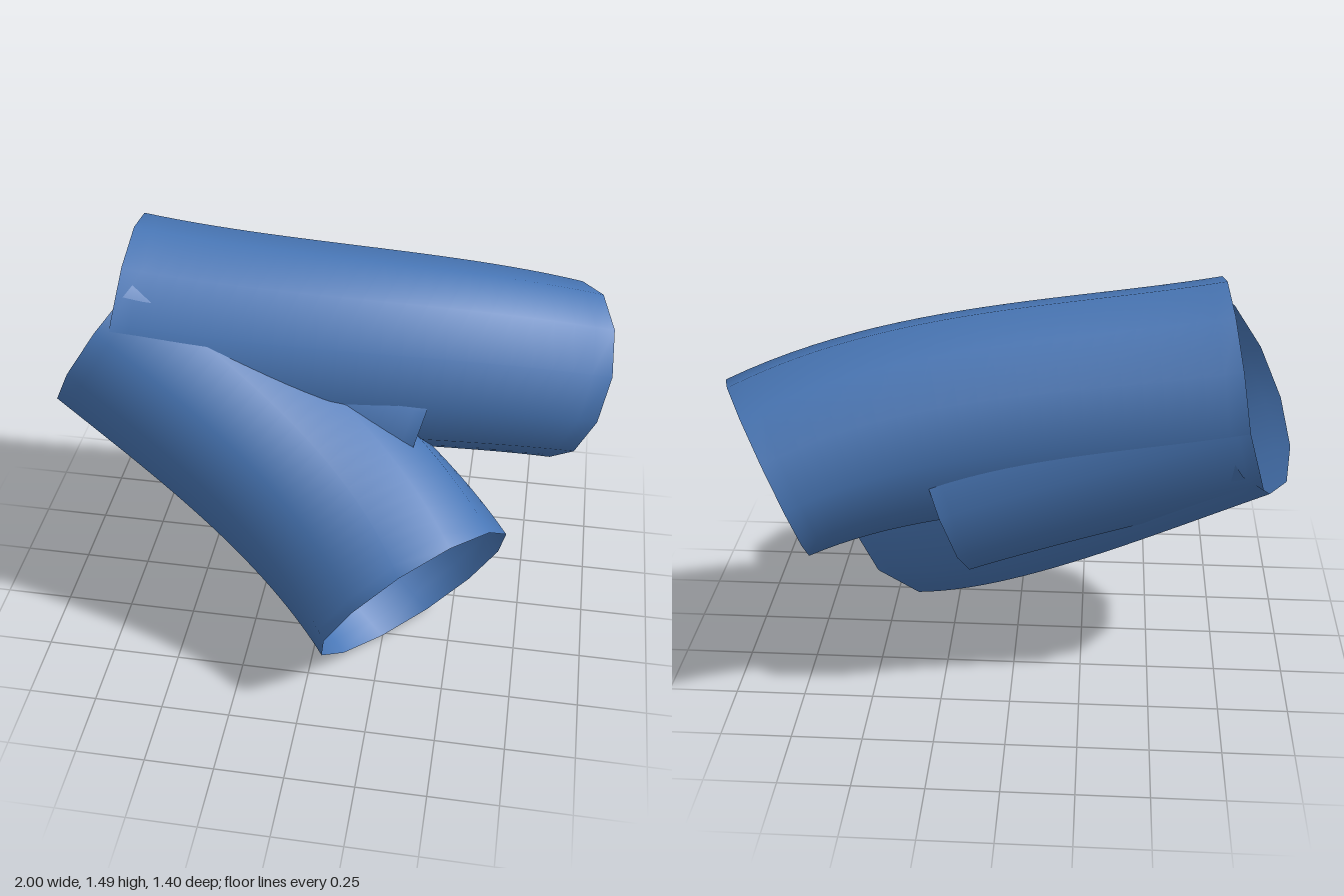
import * as THREE from 'three';

const SIDES = 12, STEPS = 24;

// Open tapered tube along a cubic curve, with end rings square to the given end directions
function branch(name, material, start, startDir, startRadius, end, endDir, endRadius) {
  const p0 = new THREE.Vector3(...start), p3 = new THREE.Vector3(...end);
  const handle = p0.distanceTo(p3) / 3;
  const p1 = new THREE.Vector3(...startDir).setLength(handle).add(p0);
  const p2 = new THREE.Vector3(...endDir).setLength(-handle).negate().multiplyScalar(-1).negate();
  p2.copy(new THREE.Vector3(...endDir).setLength(handle)).negate().add(p3);
  const curve = new THREE.CubicBezierCurve3(p0, p1, p2, p3);

  const positions = [], index = [];
  for (let i = 0; i <= STEPS; i++) {
    const t = i / STEPS;
    const centre = curve.getPoint(t), d = curve.getTangent(t);
    const up = new THREE.Vector3(0, 1, 0).addScaledVector(d, -d.y).normalize();
    const side = new THREE.Vector3().crossVectors(d, up);
    const r = THREE.MathUtils.lerp(startRadius, endRadius, t);
    for (let j = 0; j < SIDES; j++) {
      const a = (j / SIDES) * Math.PI * 2;
      const p = centre.clone()
        .addScaledVector(up, r * Math.cos(a))
        .addScaledVector(side, r * Math.sin(a));
      positions.push(p.x, p.y, p.z);
      if (i < STEPS) {
        const k = i * SIDES + j, n = i * SIDES + (j + 1) % SIDES;
        index.push(k, n, k + SIDES, n, n + SIDES, k + SIDES);
      }
    }
  }
  const geometry = new THREE.BufferGeometry();
  geometry.setAttribute('position', new THREE.Float32BufferAttribute(positions, 3));
  geometry.setIndex(index);
  geometry.computeVertexNormals();
  const mesh = new THREE.Mesh(geometry, material);
  mesh.name = name;
  return mesh;
}

export function createModel() {
  const group = new THREE.Group();
  group.name = 'branchingTube';
  const blue = new THREE.MeshStandardMaterial({ color: 0x4876b5, side: THREE.DoubleSide });
  blue.name = 'blue';

  // All three tubes fan out from one shared mouth
  group.add(
    branch('frontBranch', blue,
      [-0.78, 1.1, -0.12], [0.83, -0.5, 0.24], 0.39,
      [0.373, 0.36, 0.392], [0.628, -0.446, 0.637], 0.4),
    branch('backBranch', blue,
      [-0.77, 1.11, -0.12], [0.97, -0.14, -0.05], 0.385,
      [0.845, 0.87, -0.385], [0.88, -0.33, -0.34], 0.337),
    // Short stub between the two long branches
    branch('middleStub', blue,
      [-0.78, 1.1, -0.12], [0.95, -0.27, -0.03], 0.385,
      [0.27, 0.8, -0.2], [0.94, -0.3, -0.1], 0.385),
  );
  return group;
}
